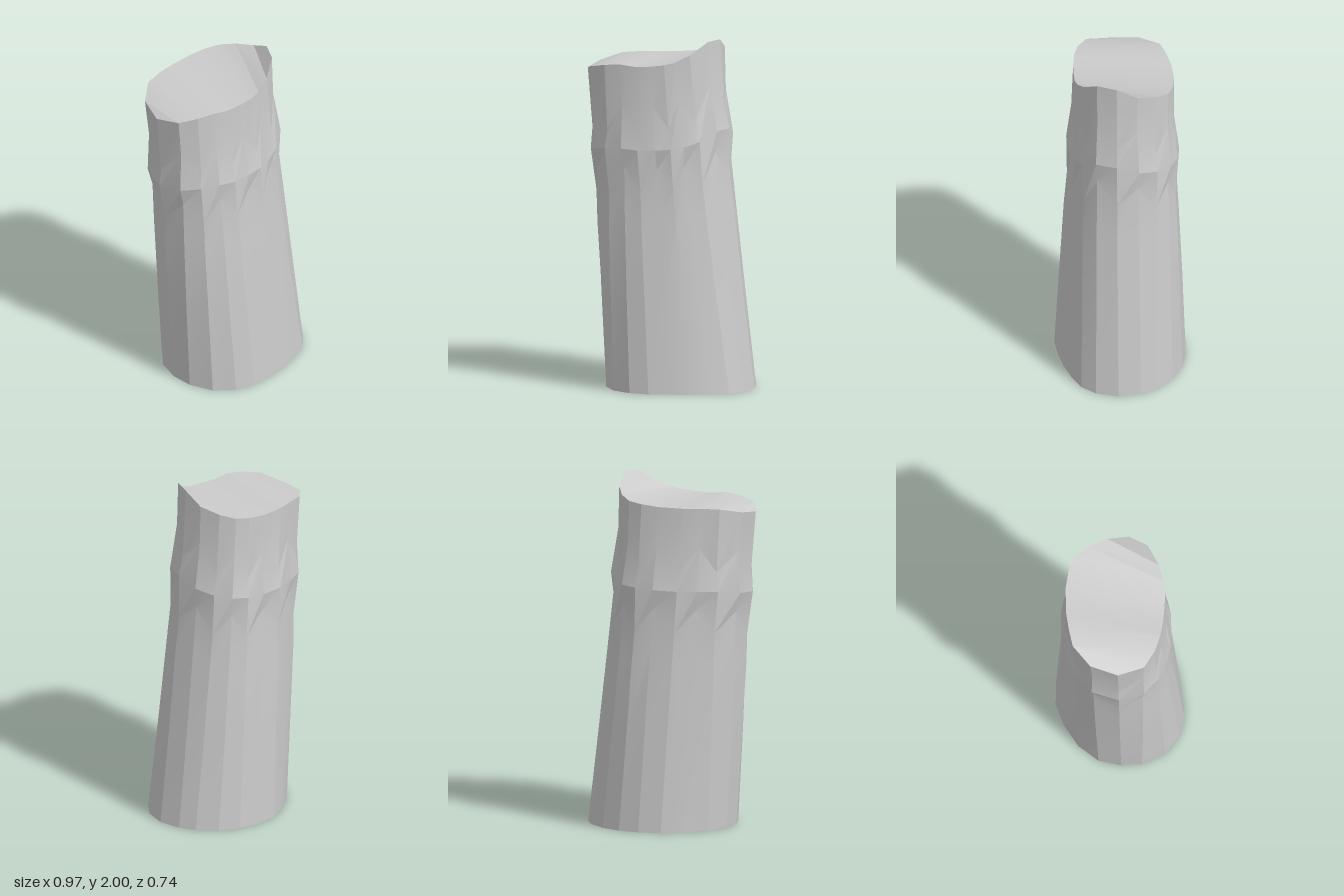
import * as THREE from 'three';
import { toCreasedNormals } from 'three/addons/utils/BufferGeometryUtils.js';

// Outlines run counterclockwise seen from above, starting at +x.
const base = [ // x, z
  [.485, .03], [.465, -.1], [.42, -.19], [.33, -.285], [.22, -.345], [.1, -.372], [-.03, -.365],
  [-.15, -.31], [-.27, -.22], [-.35, -.1], [-.37, .03], [-.35, .15], [-.28, .275], [-.17, .347],
  [-.055, .368], [.07, .35], [.18, .325], [.29, .285], [.385, .235], [.45, .155]];
const rim = [ // x, y, z
  [.285, 2, .03], [.285, 1.94, -.09], [.24, 1.91, -.2], [.18, 1.89, -.27], [.1, 1.88, -.3],
  [0, 1.87, -.31], [-.14, 1.865, -.3], [-.25, 1.865, -.275], [-.345, 1.86, -.247], [-.45, 1.83, -.14],
  [-.487, 1.81, .02], [-.44, 1.84, .165], [-.345, 1.86, .22], [-.25, 1.87, .245], [-.16, 1.86, .255],
  [-.07, 1.865, .257], [.01, 1.875, .255], [.07, 1.89, .24], [.15, 1.93, .21], [.24, 2, .14]];
const N = base.length;

// Rings up the trunk: height fraction, outward swell, stagger of alternate columns
const rings = [[0, 0, 0], [.3, 0, 0], [.53, 0, .02], [.65, -.006, .035], [.745, .012, 0], [.84, -.006, .035], [1, 0, 0]];

function trunkGeometry() {
  const positions = [], index = [];
  for (const [level, swell, stagger] of rings) {
    for (let i = 0; i < N; i++) {
      const odd = i % 2 ? 1 : -1;
      const t = level + odd * stagger;
      const [bx, bz] = base[i], [tx, ty, tz] = rim[i];
      const a = Math.atan2(bz, bx - .05);
      const out = swell - (stagger && odd > 0 ? .005 : 0);
      const sag = .015 * Math.sin(Math.PI * t) * Math.max(0, Math.cos(a));
      positions.push(
        bx + (tx - bx) * t + out * Math.cos(a) - sag,
        ty * t,
        bz + (tz - bz) * t + out * Math.sin(a));
    }
  }
  // Bark walls
  for (let r = 0; r < rings.length - 1; r++) {
    for (let i = 0; i < N; i++) {
      const j = (i + 1) % N, a = r * N + i, b = r * N + j;
      index.push(a, b, b + N, a, b + N, a + N);
    }
  }
  // Ends: strips running across from the front edge to the back edge
  const top = (rings.length - 1) * N;
  for (let i = 0; i < N / 2; i++) {
    const a = i, b = i + 1, c = N - 1 - i, d = (N - i) % N;
    if (b !== c) {
      index.push(top + a, top + b, top + c);
      index.push(a, c, b);
    }
    if (i > 0) {
      index.push(top + a, top + c, top + d);
      index.push(a, d, c);
    }
  }
  const g = new THREE.BufferGeometry();
  g.setAttribute('position', new THREE.Float32BufferAttribute(positions, 3));
  g.setIndex(index);
  return toCreasedNormals(g, .2);
}

export function createModel() {
  const group = new THREE.Group();
  group.name = 'leaningStump';
  const trunk = new THREE.Mesh(trunkGeometry(), new THREE.MeshStandardMaterial({ color: 0xcccccc }));
  trunk.name = 'trunk';
  group.add(trunk);
  return group;
}
